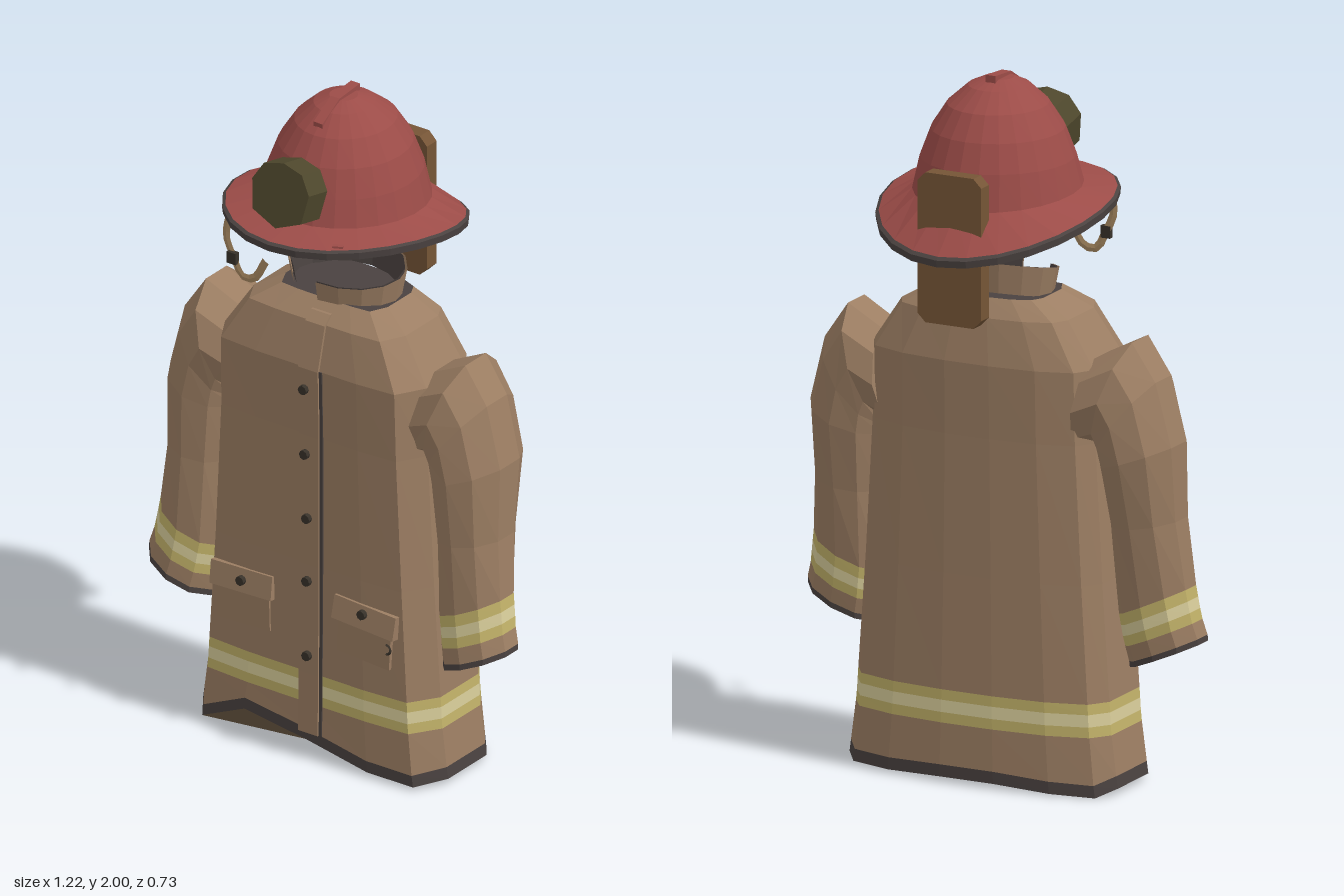
import * as THREE from 'three';

const flat = (color, name, side = THREE.FrontSide) => {
  const m = new THREE.MeshStandardMaterial({ color, side, flatShading: true });
  m.name = name;
  return m;
};

export function createModel() {
  const model = new THREE.Group();
  model.name = 'fireCoatAndHelmet';
  const coat = flat(0x9c7e63, 'tan cloth', THREE.DoubleSide);
  const trim = flat(0x4a4240, 'dark trim', THREE.DoubleSide);
  const lining = flat(0x66543f, 'brown lining');
  const yellow = flat(0xc2b269, 'yellow tape');
  const pale = flat(0xd8cd9a, 'pale tape');
  const red = flat(0x9c4c48, 'helmet red');
  const olive = flat(0x4e472c, 'olive plate');
  const brown = flat(0x755536, 'brown leather');
  const strapTan = flat(0xa98a62, 'strap tan');
  const black = flat(0x38322a, 'dark button');

  const add = (name, geo, mat, x = 0, y = 0, z = 0, parent = model) => {
    const m = new THREE.Mesh(geo, mat);
    m.name = name;
    m.position.set(x, y, z);
    parent.add(m);
    return m;
  };

  // Skin rings listed from the top down; one material for each band, then caps
  function loft(name, rings, bands, capTop, capBottom) {
    const pos = [], mats = [], geo = new THREE.BufferGeometry();
    const n = rings[0].length;
    const group = (mat, build) => {
      const start = pos.length / 3;
      build((...pts) => pts.forEach((p) => pos.push(...p)));
      if (!mats.includes(mat)) mats.push(mat);
      geo.addGroup(start, pos.length / 3 - start, mats.indexOf(mat));
    };
    for (let r = 0; r < rings.length - 1; r++) {
      const a = rings[r], b = rings[r + 1];
      group(bands[r] || bands[bands.length - 1], (tri) => {
        for (let i = 0; i < n; i++) {
          const j = (i + 1) % n;
          tri(a[i], b[i], b[j], a[i], b[j], a[j]);
        }
      });
    }
    const top = rings[0], bot = rings[rings.length - 1];
    group(capTop, (tri) => { for (let i = 1; i < n - 1; i++) tri(top[0], top[i], top[i + 1]); });
    group(capBottom, (tri) => { for (let i = 1; i < n - 1; i++) tri(bot[0], bot[i + 1], bot[i]); });
    geo.setAttribute('position', new THREE.Float32BufferAttribute(pos, 3));
    geo.computeVertexNormals();
    return add(name, geo, mats);
  }

  const ellipse = (n, fn) => Array.from({ length: n }, (_, i) => {
    const a = (i / n) * Math.PI * 2;
    return fn(Math.sin(a), Math.cos(a));
  });

  // Coat body: flat front, rounded back, uneven hem
  const section = [[0, 1], [0.5, 1], [0.86, 0.95], [1, 0.5], [1, -0.45], [0.9, -0.75], [0.6, -0.93], [0.2, -1],
    [-0.2, -1], [-0.6, -0.93], [-0.9, -0.75], [-1, -0.45], [-1, 0.5], [-0.86, 0.95], [-0.5, 1]];
  const hemY = [0.055, 0.015, 0.01, 0.02, 0.02, 0.01, 0.01, 0.015, 0.015, 0.005, 0, 0.02, 0.02, 0.015, 0.085];
  const bodyRing = ([y, rx, rz, cz = 0]) => section.map(([x, z]) => [x * rx, y, cz + z * rz]);
  const hemRing = (rise, rx, rz) => section.map(([x, z], i) => [x * rx, hemY[i] + rise, z * rz]);
  const body = [[1.39, 0.175, 0.115, -0.015], [1.34, 0.26, 0.16, -0.005], [1.21, 0.345, 0.188],
    [1.0, 0.348, 0.183], [0.6, 0.37, 0.183], [0.265, 0.393, 0.186], [0.235, 0.395, 0.186],
    [0.2, 0.397, 0.187], [0.17, 0.4, 0.187]].map(bodyRing);
  loft('coatBody', [...body, hemRing(0.035, 0.415, 0.189), hemRing(0, 0.42, 0.188)],
    [coat, coat, coat, coat, coat, yellow, pale, yellow, coat, trim], trim, lining);

  // Sleeves, turning from the armhole down to the cuff: [x, y, z, rx, rz, slope]
  const sleeve = [[0.31, 1.1, -0.01, 0.02, 0.15, 7], [0.39, 1.135, 0, 0.057, 0.155, 2.9],
    [0.428, 1.07, 0, 0.094, 0.152, 1.3], [0.453, 0.965, 0.003, 0.117, 0.148, 0.35],
    [0.463, 0.77, 0.02, 0.106, 0.12, 0.15],
    [0.477, 0.565, 0.04, 0.11, 0.102, 0.45], [0.482, 0.532, 0.043, 0.11, 0.101, 0.45],
    [0.487, 0.5, 0.046, 0.11, 0.1, 0.44], [0.492, 0.47, 0.05, 0.11, 0.099, 0.43],
    [0.503, 0.425, 0.056, 0.112, 0.098, 0.42], [0.504, 0.408, 0.058, 0.112, 0.098, 0.42],
    [0.504, 0.408, 0.058, 0.082, 0.072, 0.42], [0.5, 0.45, 0.055, 0.078, 0.07, 0.42]];
  for (const [s, name, dy] of [[1, 'leftSleeve', 0], [-1, 'rightSleeve', -0.025]]) {
    const rings = sleeve.map(([cx, cy, cz, rx, rz, k]) => ellipse(10, (u, v) =>
      [s * cx + rx * u, cy + (cy < 0.7 ? dy : 0) + s * k * rx * u, cz + rz * v]));
    loft(name, rings, [coat, coat, coat, coat, coat, yellow, pale, yellow, coat, trim, trim, trim], coat, trim);
  }

  // Front flap and its dark seam, following the chest
  const strip = (name, rows, x0, x1, out, mat) => loft(name, rows.map(([y, z]) =>
    [[x0, y, z + out], [x1, y, z + out], [x1, y, z - 0.02], [x0, y, z - 0.02]]), [mat], mat, mat);
  const chest = [[1.21, 0.188], [1.0, 0.183], [0.6, 0.183], [0.265, 0.186], [0.08, 0.188]];
  strip('frontFlap', [[1.365, 0.128], [1.34, 0.155], ...chest], -0.02, 0.047, 0.008, coat);
  strip('frontSeam', chest, 0.047, 0.057, 0.003, trim);

  // Buttons
  const buttonGeo = new THREE.CylinderGeometry(0.014, 0.014, 0.014, 8).rotateX(Math.PI / 2);
  for (const [x, y, z] of [[0.012, 1.155, 0.215], [0.016, 0.955, 0.215], [0.014, 0.75, 0.203],
    [0.014, 0.555, 0.203], [0.022, 0.33, 0.213], [-0.21, 0.49, 0.205], [0.205, 0.51, 0.205]])
    add('button', buttonGeo, black, x, y, z);

  // Pockets with slanted flaps
  for (const [x, y, roll] of [[-0.215, 0.485, 0.03], [0.205, 0.495, -0.06]]) {
    const pocket = new THREE.Group();
    pocket.name = 'pocket';
    pocket.position.set(x, y, 0.18);
    pocket.rotation.z = roll;
    model.add(pocket);
    add('pocketBag', new THREE.BoxGeometry(0.18, 0.15, 0.02), coat, 0, -0.06, 0, pocket);
    add('pocketFlap', new THREE.BoxGeometry(0.21, 0.07, 0.03), coat, 0, 0, 0.003, pocket).rotation.x = -0.15;
  }
  add('pocketHook', new THREE.TorusGeometry(0.014, 0.004, 4, 8, Math.PI), black, 0.28, 0.42, 0.193).rotation.z = -1.57;

  // Stand collar, open at the front
  const collar = (name, rTop, rBottom, mat) => {
    const g = new THREE.CylinderGeometry(rTop, rBottom, 0.085, 14, 1, true, -0.1, Math.PI * 2 - 0.65);
    const p = g.attributes.position;
    for (let i = 0; i < p.count; i++) {
      const z = p.getZ(i) * 0.68 - 0.008;
      p.setXYZ(i, p.getX(i), p.getY(i) + 1.42 - z * 0.2, z);
    }
    g.computeVertexNormals();
    add(name, g, mat);
  };
  collar('collar', 0.185, 0.168, coat);
  collar('collarLining', 0.178, 0.161, trim);

  // Helmet: dome, sweeping brim, dark edge and closed underside
  const shell = [[0.04, 0.04, 0.01, 1.985, 0], [0.085, 0.09, 0.005, 1.965, 0], [0.14, 0.15, 0, 1.915, 0],
    [0.185, 0.195, 0, 1.845, 0], [0.215, 0.225, 0, 1.765, 0], [0.235, 0.248, 0, 1.68, 0.35],
    [0.323, 0.355, 0, 1.648, 1], [0.332, 0.365, 0, 1.643, 1], [0.33, 0.362, 0, 1.622, 1],
    [0.314, 0.345, 0, 1.622, 1], [0.16, 0.175, 0, 1.632, 1], [0.02, 0.02, 0, 1.635, 1]];
  loft('helmet', shell.map(([rx, rz, cz, y, w]) => ellipse(24, (u, v) => {
    const z = cz + rz * v;
    return [rx * u, y + w * (0.16 * z - 0.28 * z * z), z];
  })), [red, red, red, red, red, red, trim, trim, trim, red], red, red);
  add('brimClip', new THREE.BoxGeometry(0.03, 0.012, 0.015), red, 0.175, 1.672, 0.275).rotation.y = 0.5;

  const plate = (pts, depth) => new THREE.ExtrudeGeometry(
    new THREE.Shape(pts.map(([x, y]) => new THREE.Vector2(x, y))), { depth, bevelEnabled: false });

  // Crest along the top of the dome
  add('crest', plate([[0.045, 2], [-0.05, 1.992], [-0.13, 1.945], [-0.13, 1.91], [-0.03, 1.95], [0.045, 1.95]], 0.03)
    .translate(0, 0, -0.015).rotateY(Math.PI / 2), red);

  // Shield on the front
  add('frontShield', plate([[0, 0.095], [-0.065, 0.078], [-0.097, 0.025], [-0.083, -0.06], [0, -0.095],
    [0.083, -0.06], [0.097, 0.025], [0.065, 0.078]], 0.088), olive, 0, 1.775, 0.224).rotation.x = -0.21;

  // Stand board behind the neck and the arm that holds the helmet
  add('backBoard', plate([[-0.1, 0.19], [-0.075, 0.215], [0.075, 0.215], [0.1, 0.19], [0.1, -0.19],
    [0.075, -0.215], [-0.075, -0.215], [-0.1, -0.19]], 0.045), brown, 0, 1.557, -0.287);
  const tube = (pts, r) => new THREE.TubeGeometry(
    new THREE.CatmullRomCurve3(pts.map((p) => new THREE.Vector3(...p))), 14, r, 4, false);
  add('supportArm', tube([[0, 1.64, -0.025], [0, 1.6, -0.02], [0, 1.56, -0.012], [0, 1.52, -0.035],
    [0, 1.505, -0.09], [0, 1.51, -0.26]], 0.02), brown);

  // Hanging flat chin strap and buckle
  add('chinStrap', tube([[-0.22, 1.65, 0], [-0.235, 1.57, 0], [-0.21, 1.51, 0], [-0.18, 1.46, 0],
    [-0.14, 1.465, 0], [-0.1, 1.53, 0]], 0.012).scale(1, 1, 0.2), strapTan, 0, 0, 0.238);
  add('strapBuckle', new THREE.BoxGeometry(0.03, 0.035, 0.016), black, -0.21, 1.51, 0.242);

  return model;
}
